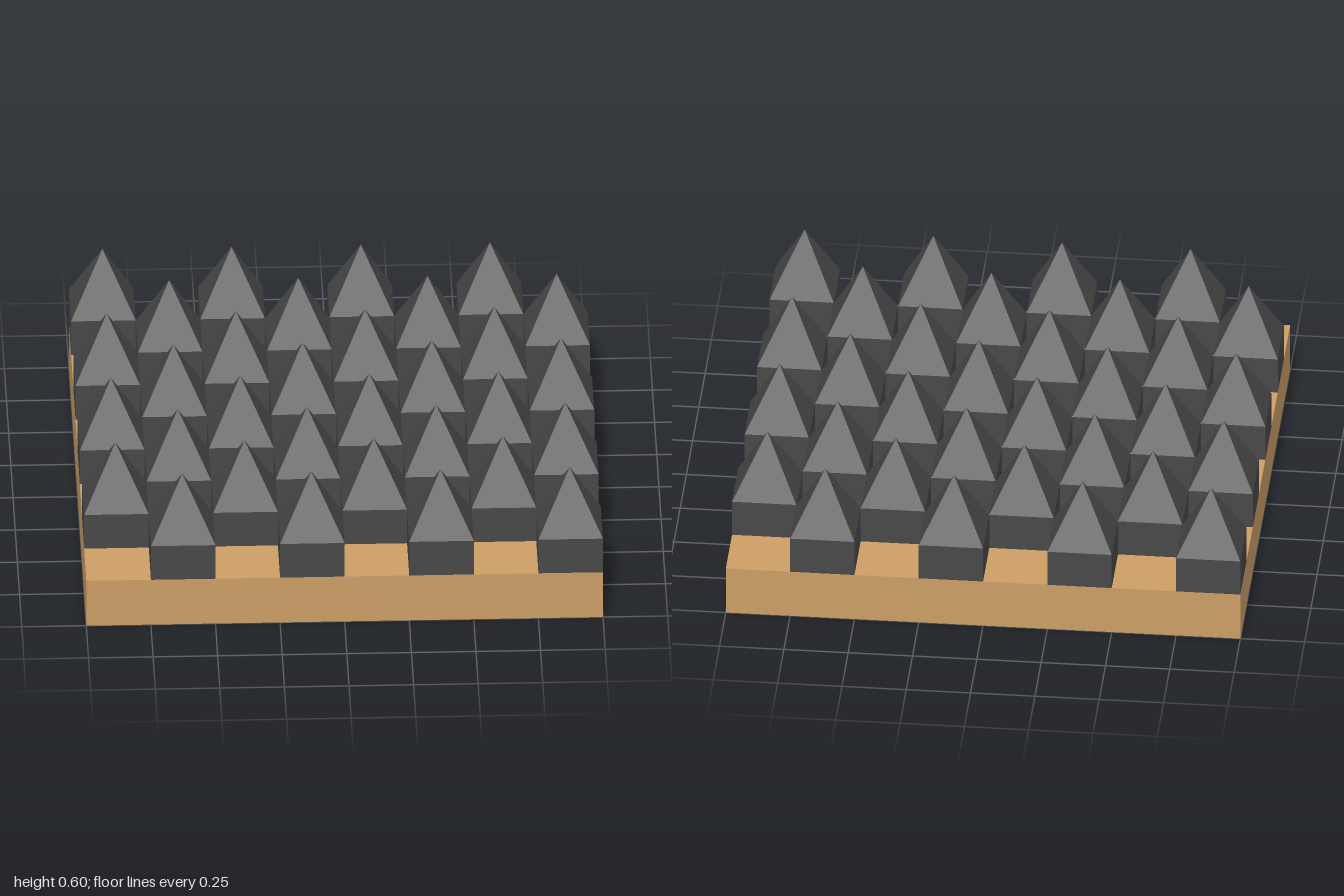
import * as THREE from 'three';

export function createModel() {
  const group = new THREE.Group();
  const wood = new THREE.MeshStandardMaterial({ color: 0xcc9e66 });
  wood.name = 'tan wood';
  const foam = new THREE.MeshStandardMaterial({ color: 0x484848, flatShading: true });
  foam.name = 'charcoal';

  const add = (parent, name, geometry, material, y) => {
    const mesh = new THREE.Mesh(geometry, material);
    mesh.name = name;
    mesh.position.y = y;
    parent.add(mesh);
  };

  // Square base slab
  add(group, 'base', new THREE.BoxGeometry(2, 0.2, 2), wood, 0.1);

  // Checkerboard of square blocks, each topped with a pyramid
  const count = 8;
  const cell = 2 / count;
  const blockGeometry = new THREE.BoxGeometry(cell, 0.15, cell);
  const pyramidGeometry = new THREE.ConeGeometry(cell * Math.SQRT1_2, 0.25, 4, 1, true).rotateY(Math.PI / 4);

  for (let row = 0; row < count; row++) {
    for (let column = row % 2; column < count; column += 2) {
      const spike = new THREE.Group();
      spike.name = `spike_${row}_${column}`;
      spike.position.set(-1 + (column + 0.5) * cell, 0.2, -1 + (row + 0.5) * cell);
      add(spike, 'block', blockGeometry, foam, 0.075);
      add(spike, 'pyramid', pyramidGeometry, foam, 0.275);
      group.add(spike);
    }
  }
  return group;
}
